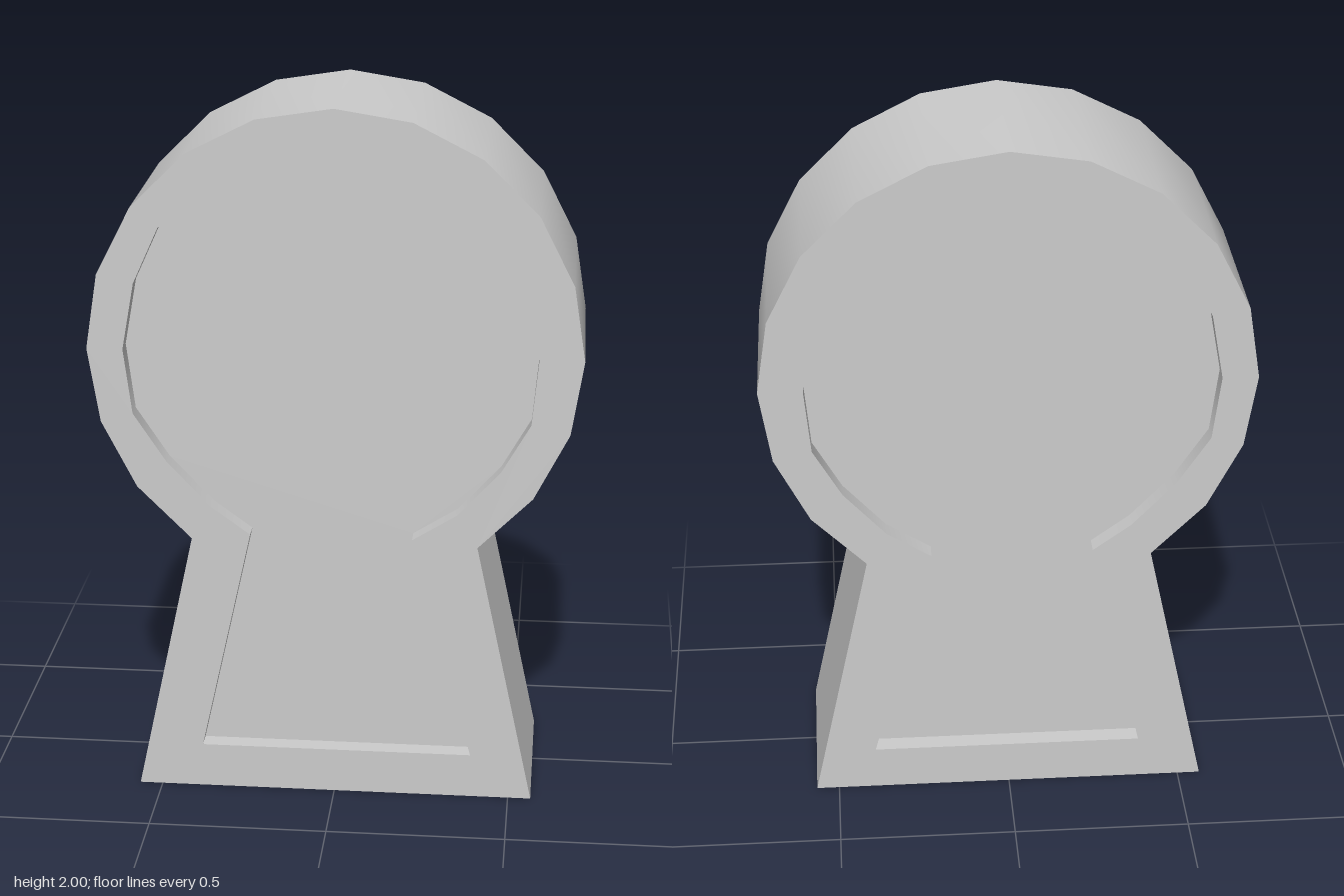
import * as THREE from 'three';
import { toCreasedNormals } from 'three/addons/utils/BufferGeometryUtils.js';

const DEPTH = 0.506;
const RECESS = 0.053;

// Keyhole outline: 20-sided round head, open at the bottom, on a flared foot
function outerPoints() {
  const pts = [new THREE.Vector2(0.565, 0)];
  for (let i = -8; i <= 8; i++) {
    const a = -i * Math.PI / 10;
    pts.push(new THREE.Vector2(0.68 * Math.sin(a), 1.32 + 0.68 * Math.cos(a)));
  }
  pts.push(new THREE.Vector2(-0.565, 0));
  return pts;
}

// Slightly uneven outline of the recessed panel, counter-clockwise
function innerPoints() {
  return [
    [0.39, 0.13], [0.218, 0.787], [0.342, 0.865], [0.46, 0.995], [0.54, 1.135],
    [0.557, 1.32], [0.535, 1.505], [0.46, 1.665], [0.34, 1.792], [0.188, 1.886],
    [0, 1.92], [-0.18, 1.886], [-0.342, 1.792], [-0.475, 1.665], [-0.546, 1.508],
    [-0.58, 1.32], [-0.557, 1.135], [-0.465, 0.995], [-0.342, 0.865],
    [-0.235, 0.787], [-0.38, 0.13],
  ].map(([x, y]) => new THREE.Vector2(x, y));
}

// Extrude a shape centred on z = 0, smooth around the head, sharp at corners
function slab(name, shape, depth, material) {
  const geo = new THREE.ExtrudeGeometry(shape, { depth, bevelEnabled: false });
  geo.translate(0, 0, -depth / 2);
  const mesh = new THREE.Mesh(toCreasedNormals(geo, 0.5), material);
  mesh.name = name;
  return mesh;
}

export function createModel() {
  const group = new THREE.Group();
  group.name = 'keyhole';
  const material = new THREE.MeshStandardMaterial({ color: 0xcccccc });

  // Rim with the keyhole opening
  const rim = new THREE.Shape(outerPoints());
  rim.holes.push(new THREE.Path(innerPoints()));
  group.add(slab('rim', rim, DEPTH, material));

  // Panel set back from both faces
  group.add(slab('recessedPanel', new THREE.Shape(innerPoints()), DEPTH - 2 * RECESS, material));

  return group;
}
